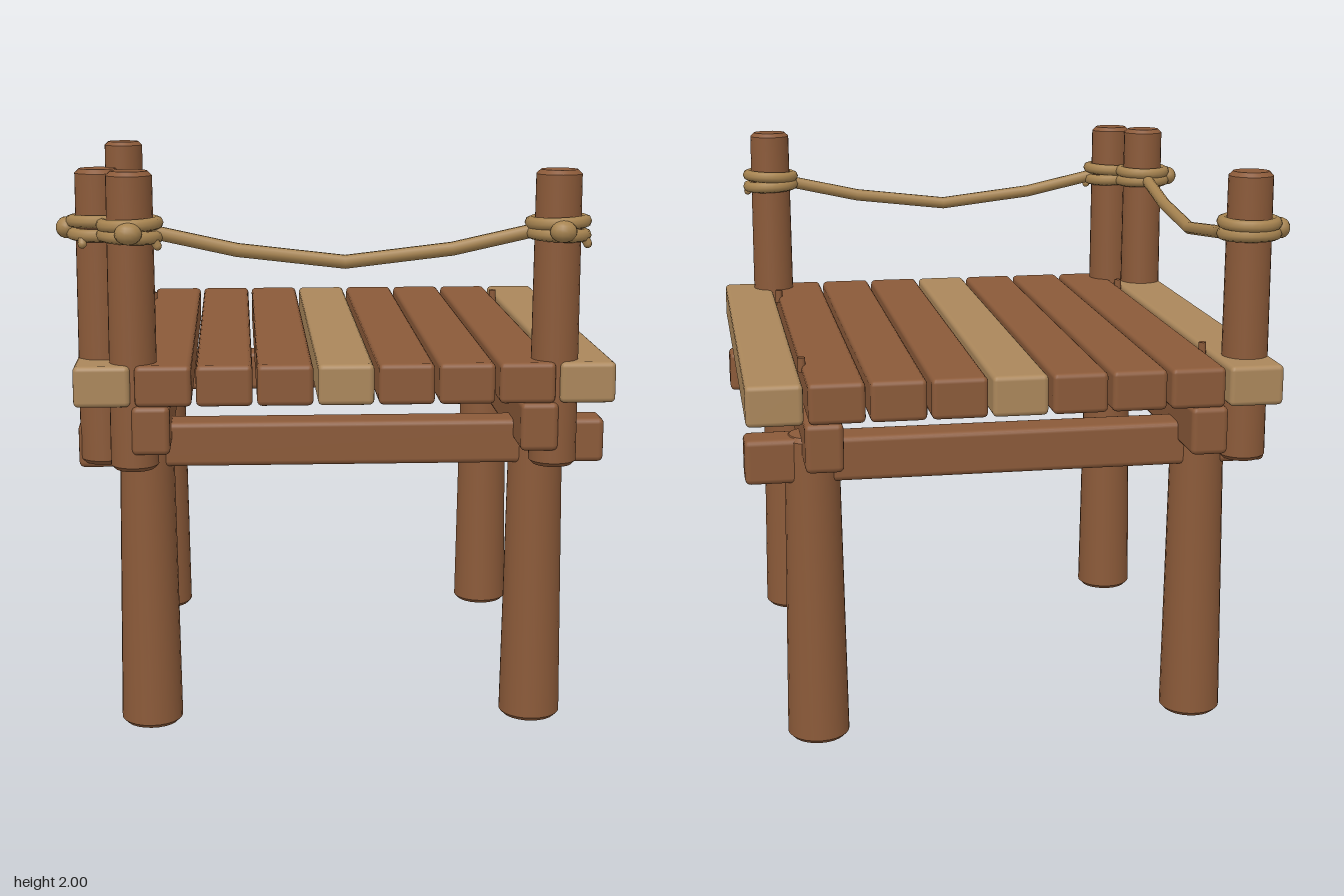
import * as THREE from 'three';
import { RoundedBoxGeometry } from 'three/addons/geometries/RoundedBoxGeometry.js';
import { toCreasedNormals } from 'three/addons/utils/BufferGeometryUtils.js';

export function createModel() {
  const model = new THREE.Group();
  model.name = 'woodenPlatform';

  const material = (name, color) => {
    const m = new THREE.MeshStandardMaterial({ color });
    m.name = name;
    return m;
  };
  const brownWood = material('brownWood', 0x8b5a39);
  const paleWood = material('paleWood', 0xab875b);
  const ropeFibre = material('ropeFibre', 0xa68350);

  const add = (name, geometry, mat, x, y, z, parent = model) => {
    const mesh = new THREE.Mesh(geometry, mat);
    mesh.name = name;
    mesh.position.set(x, y, z);
    parent.add(mesh);
    return mesh;
  };

  // Tapered round timber with chamfered ends, standing on its origin
  const timber = (rBottom, rTop, height, bevel = 0.015) => toCreasedNormals(
    new THREE.LatheGeometry([
      [0, 0], [rBottom - bevel, 0], [rBottom, bevel],
      [rTop, height - bevel], [rTop - bevel, height], [0, height],
    ].map(([r, y]) => new THREE.Vector2(r, y)), 24), 0.6);

  const midX = 0.025, midZ = -0.025, length = 1.85;

  // Deck planks, the middle and outer ones pale
  for (let i = 0; i < 9; i++) {
    add('plank', new RoundedBoxGeometry(0.192, 0.142, length, 2, 0.018),
      i % 4 === 0 ? paleWood : brownWood, midX + (i - 4) * 0.207, 1.281, midZ);
  }

  for (const s of [-1, 1]) {
    // Joists run front to back, cross beams run side to side
    add('joist', new RoundedBoxGeometry(0.13, 0.17, length, 2, 0.02),
      brownWood, midX + s * 0.665, 1.127, midZ);
    add('crossBeam', new RoundedBoxGeometry(length, 0.158, 0.135, 2, 0.02),
      brownWood, midX, 1.038, midZ + s * 0.68);

    for (const t of [-1, 1]) {
      add('leg', timber(0.11, 0.094, 1.12), brownWood, midX + s * 0.69, 0, midZ + t * 0.68);
      add('peg', new THREE.CylinderGeometry(0.014, 0.014, 0.05, 8),
        brownWood, midX + s * 0.716, 1.352, midZ - 0.006 + t * 0.622);
    }
  }

  // Railing posts, each with two rope loops and an outward knot
  const railPost = (x, z, turn) => {
    const group = new THREE.Group();
    group.name = 'railPost';
    group.position.set(x, 0, z);
    group.rotation.y = turn;
    model.add(group);
    add('post', timber(0.083, 0.078, 1.02), brownWood, 0, 0.98, 0, group);
    [[1.783, -0.04], [1.823, 0.04]].forEach(([y, tilt]) => {
      const loop = add('ropeLoop', new THREE.TorusGeometry(0.092, 0.022, 8, 28),
        ropeFibre, 0, y, 0, group);
      loop.rotation.set(Math.PI / 2, tilt, 0);
    });
    const knot = add('ropeKnot', new THREE.SphereGeometry(1, 14, 10), ropeFibre, 0, 1.8, 0.11, group);
    knot.scale.set(0.046, 0.037, 0.036);
    const tail = add('ropeTail', new THREE.CapsuleGeometry(0.015, 0.035, 4, 8),
      ropeFibre, 0.085, 1.768, 0.05, group);
    tail.rotation.z = 0.5;
  };
  railPost(-0.7, 0.802, 0);
  railPost(0.75, 0.802, 0);
  railPost(-0.812, -0.765, -Math.PI / 2);
  railPost(-0.812, 0.69, -Math.PI / 2);

  // Sagging ropes in four straight stretches
  const sag = [1.812, 1.732, 1.69, 1.732, 1.812];
  const rope = (name, from, to) => {
    const points = sag.map((y, i) => new THREE.Vector3().lerpVectors(from, to, i / 4).setY(y));
    add(name, new THREE.TubeGeometry(new THREE.CatmullRomCurve3(points), 4, 0.024, 10),
      ropeFibre, 0, 0, 0);
  };
  rope('frontRope', new THREE.Vector3(-0.7, 0, 0.805), new THREE.Vector3(0.75, 0, 0.805));
  rope('sideRope', new THREE.Vector3(-0.812, 0, -0.765), new THREE.Vector3(-0.812, 0, 0.69));

  return model;
}
